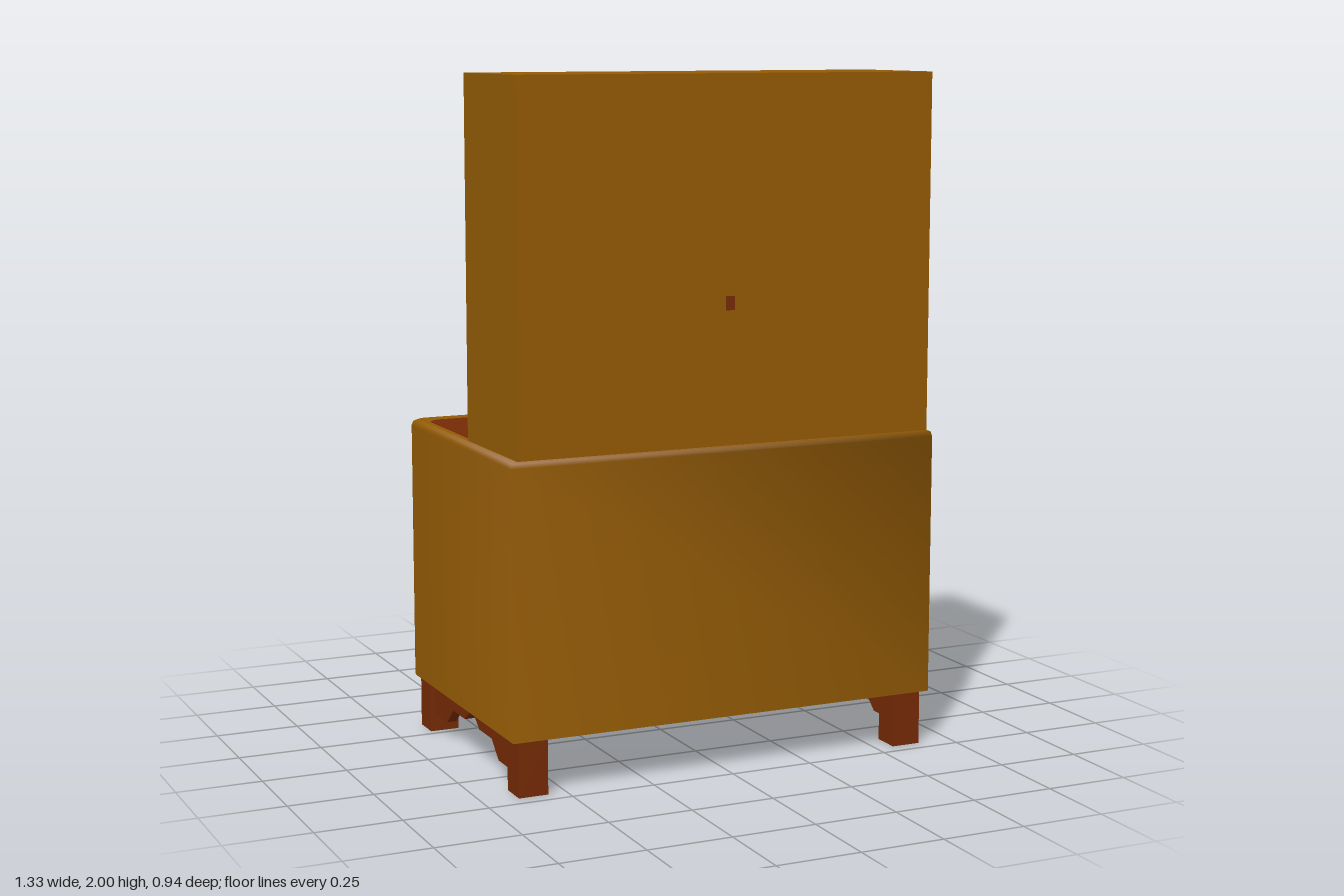
import * as THREE from 'three';

const ochre = new THREE.MeshStandardMaterial({ color: 0x925a04 });
ochre.name = 'ochreWood';
const brown = new THREE.MeshStandardMaterial({ color: 0x752a06 });
brown.name = 'redBrownWood';

function add(parent, name, geometry, material) {
  const mesh = new THREE.Mesh(geometry, material);
  mesh.name = name;
  parent.add(mesh);
  return mesh;
}

// Box given by its minimum and maximum corners
function box(parent, name, material, [x0, y0, z0], [x1, y1, z1]) {
  const mesh = add(parent, name, new THREE.BoxGeometry(x1 - x0, y1 - y0, z1 - z0), material);
  mesh.position.set((x0 + x1) / 2, (y0 + y1) / 2, (z0 + z1) / 2);
  return mesh;
}

// Plan outline with rounded corners on the drawer side and square ones at the wall
function outline(halfWidth, zDrawer, zWall, radius) {
  const points = [[halfWidth, zWall]];
  for (const side of [1, -1]) {
    for (let i = 0; i <= 3; i++) {
      const a = (side > 0 ? i : 3 - i) * Math.PI / 6;
      points.push([side * (halfWidth - radius + radius * Math.cos(a)), zDrawer + radius - radius * Math.sin(a)]);
    }
  }
  points.push([-halfWidth, zWall]);
  return points;
}

// Smooth walls through stacked outlines, with flat caps
function chest(parent) {
  const rings = [
    [0.163, outline(0.665, -0.388, 0.47, 0.04)],
    [0.935, outline(0.665, -0.388, 0.47, 0.04)],
    [0.949, outline(0.66, -0.383, 0.47, 0.037)],
    [0.955, outline(0.647, -0.37, 0.47, 0.03)],
  ];
  const n = rings[0][1].length;
  const positions = [], index = [];
  rings.forEach(([y, pts]) => pts.forEach(([x, z]) => positions.push(x, y, z)));
  for (let r = 0; r < rings.length - 1; r++) {
    for (let i = 0; i < n; i++) {
      const a = r * n + i, b = r * n + (i + 1) % n;
      index.push(a, b, a + n, b, b + n, a + n);
    }
  }
  const walls = new THREE.BufferGeometry();
  walls.setAttribute('position', new THREE.Float32BufferAttribute(positions, 3));
  walls.setIndex(index);
  walls.computeVertexNormals();
  add(parent, 'chestWalls', walls, ochre);
  for (const [name, [y, pts], up] of [['chestTop', rings[3], true], ['chestBottom', rings[0], false]]) {
    const shape = new THREE.Shape(pts.map(([x, z]) => new THREE.Vector2(x, up ? -z : z)));
    const cap = add(parent, name, new THREE.ShapeGeometry(shape), ochre);
    cap.rotation.x = up ? -Math.PI / 2 : Math.PI / 2;
    cap.position.y = y;
  }
}

// Thin board cut from a scalloped outline
function board(points, thickness) {
  const shape = new THREE.Shape(points.map(([x, y]) => new THREE.Vector2(x, y)));
  return new THREE.ExtrudeGeometry(shape, { depth: thickness, bevelEnabled: false });
}

export function createModel() {
  const model = new THREE.Group();
  model.name = 'hutchCabinet';

  // Lower chest and its inset worktop
  chest(model);
  const inset = new THREE.Shape(outline(0.63, -0.31, 0.45, 0.04).map(([x, z]) => new THREE.Vector2(x, -z)));
  const worktop = add(model, 'worktop', new THREE.ExtrudeGeometry(inset, { depth: 0.002, bevelEnabled: false }), brown);
  worktop.rotation.x = -Math.PI / 2;
  worktop.position.y = 0.9545;

  // Upper cabinet above an open niche
  const hutch = new THREE.Group();
  hutch.name = 'hutch';
  model.add(hutch);
  box(hutch, 'upperCabinet', ochre, [-0.645, 1.32, 0.082], [0.645, 2, 0.47]);
  box(hutch, 'backPanel', ochre, [-0.645, 0.955, 0.455], [0.645, 1.32, 0.47]);
  box(hutch, 'nicheBack', brown, [-0.625, 0.955, 0.449], [0.625, 1.32, 0.455]);
  box(hutch, 'nicheCeiling', brown, [-0.625, 1.315, 0.084], [0.625, 1.3205, 0.455]);
  for (const s of [-1, 1]) {
    const side = s < 0 ? 'right' : 'left';
    box(hutch, side + 'SidePanel', ochre, [s * 0.635 - 0.01, 0.955, 0.082], [s * 0.635 + 0.01, 1.32, 0.47]);
    box(hutch, side + 'NicheLining', brown, [s * 0.623 - 0.003, 0.955, 0.084], [s * 0.623 + 0.003, 1.32, 0.455]);
  }
  box(hutch, 'backPeg', brown, [-0.014, 1.34, 0.468], [0.014, 1.38, 0.471]);

  // Six-sided turned knobs
  const profile = [[0.024, 0], [0.013, 0.026], [0.035, 0.055], [0.03, 0.075], [0.016, 0.083], [0, 0.085]];
  const knobGeometry = new THREE.LatheGeometry(profile.map(([r, y]) => new THREE.Vector2(r, y)), 6, Math.PI / 2)
    .toNonIndexed();
  knobGeometry.computeVertexNormals();
  for (const [x, y] of [[0.3225, 0.86], [0.0525, 0.53]]) {
    for (const s of [-1, 1]) {
      const knob = add(model, 'knob', knobGeometry, brown);
      knob.rotation.x = -Math.PI / 2;
      knob.position.set(s * x, y, -0.387);
    }
  }

  // Legs with scalloped brackets along the drawer side and both ends
  const bracket = [[0.56, 0.165], [0.56, 0.055], [0.425, 0.055], [0.37, 0.105], [0.28, 0.105], [0.21, 0.165]];
  const half = [[0.33, 0.055], [0.215, 0.055], [0.16, 0.105], [0.06, 0.105]];
  const apron = [[-0.33, 0.165], ...half.map(([x, y]) => [-x, y]), [0, 0.15],
    ...half.slice().reverse(), [0.33, 0.165]];
  for (const s of [-1, 1]) {
    for (const z of [-0.3175, 0.4125]) {
      box(model, 'leg', brown, [s * 0.6 - 0.044, 0, z - 0.043], [s * 0.6 + 0.044, 0.165, z + 0.043]);
    }
    const points = bracket.map(([x, y]) => [s * x, y]);
    add(model, 'drawerSideBracket', board(points, 0.03), brown).position.z = -0.345;
    const end = add(model, 'endApron', board(apron, 0.03), brown);
    end.rotation.y = Math.PI / 2;
    end.position.set(s * 0.615 - 0.015, 0, 0.0475);
  }
  return model;
}
